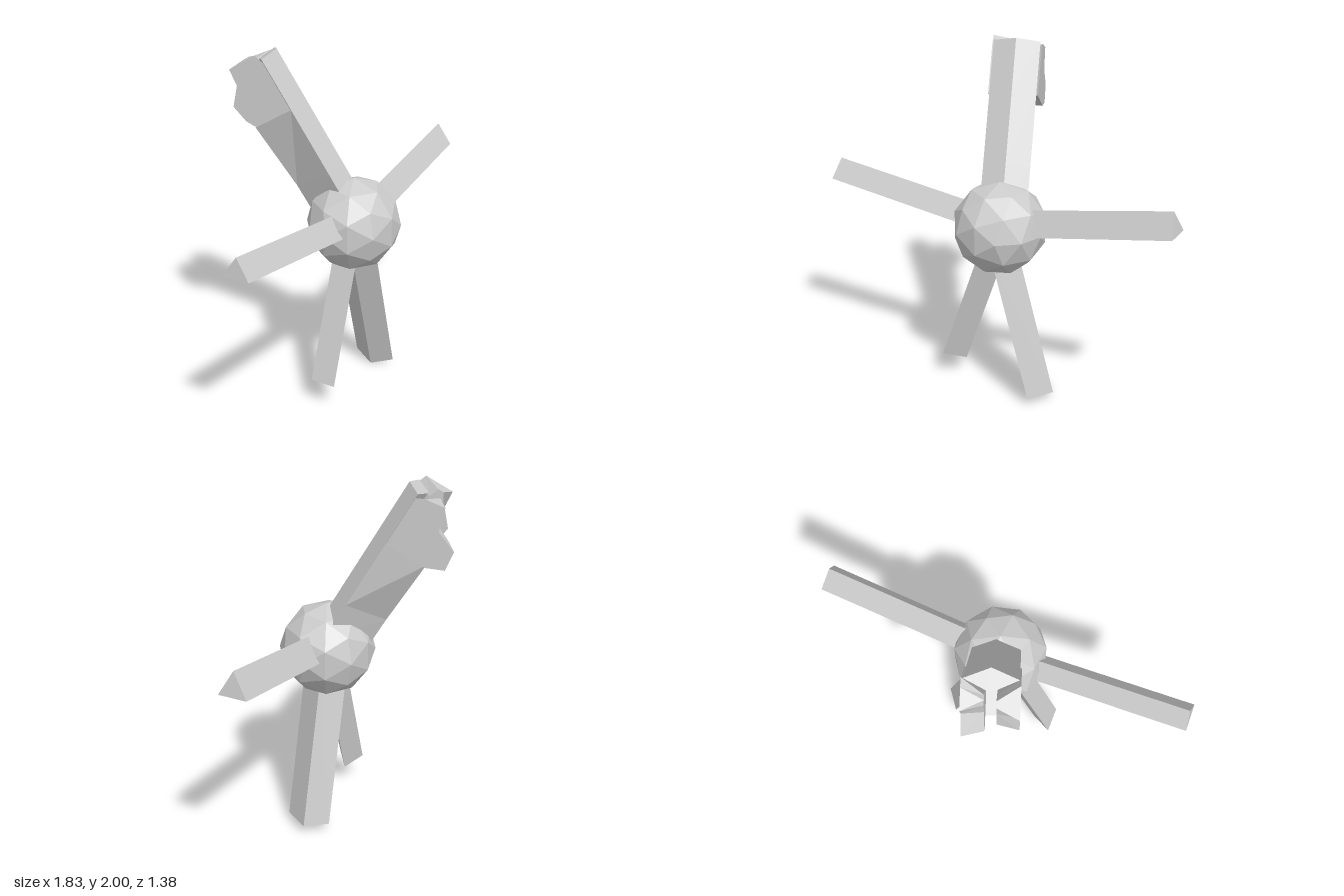
import * as THREE from 'three';

const V = (x, y, z) => new THREE.Vector3(x, y, z);
const material = new THREE.MeshStandardMaterial({ color: 0xcccccc, flatShading: true, side: THREE.DoubleSide });
const CENTRE = V(0.02, 1.03, -0.02);

// Closed solid through a list of cross-sections with equal point counts
function loft(name, sections) {
  const tris = [];
  const n = sections[0].length;
  const last = sections[sections.length - 1];
  for (let s = 0; s < sections.length - 1; s++) {
    for (let i = 0; i < n; i++) {
      const j = (i + 1) % n;
      const [a, b, c, d] = [sections[s][i], sections[s][j], sections[s + 1][j], sections[s + 1][i]];
      tris.push([a, b, c], [a, c, d]);
    }
  }
  for (let i = 1; i < n - 1; i++) {
    tris.push([sections[0][0], sections[0][i + 1], sections[0][i]]);
    tris.push([last[0], last[i], last[i + 1]]);
  }
  // Turn every face outwards if the solid came out inverted
  const volume = tris.reduce((v, [a, b, c]) => v + a.clone().sub(CENTRE)
    .dot(b.clone().sub(CENTRE).cross(c.clone().sub(CENTRE))), 0);
  if (volume < 0) tris.forEach((t) => t.reverse());
  const geometry = new THREE.BufferGeometry().setFromPoints(tris.flat());
  geometry.computeVertexNormals();
  const mesh = new THREE.Mesh(geometry, material);
  mesh.name = name;
  return mesh;
}

// Straight limb: its end outline is swept back along dir into the body
function limb(name, end, dir) {
  const outer = end.map((p) => V(...p));
  const mid = outer.reduce((m, p) => m.add(p), V(0, 0, 0)).divideScalar(outer.length);
  const d = V(...dir).normalize();
  const length = mid.distanceTo(CENTRE) - 0.1;
  return loft(name, [outer.map((p) => p.clone().addScaledVector(d, -length)), outer]);
}

// Neck frame: u across, w towards the nape, a along the neck
const TOP = V(-0.32, 2.0, -0.28);
const U = V(0.57, 0, -0.82), W = V(0.71, 0.503, 0.494), A = V(-0.413, 0.866, -0.286);
const at = (u, w, a) => TOP.clone().addScaledVector(U, u).addScaledVector(W, w).addScaledVector(A, a);

// Neck section: ridged nape, two sides and a narrow underside
const neckSection = (a, half, depth) => [
  at(0, 0, a), at(0.132, -0.055, a), at(half, depth, a), at(-half, depth, a), at(-0.135, -0.055, a),
];

// One half of the head: a side profile that narrows towards the cleft.
// Each point is [w, a, how much of its width is kept inside]
function headHalf(name, side, profile) {
  const outer = profile.map(([w, a]) => at(side * 0.142, w, a));
  const inner = profile.map(([w, a, keep]) => at(side * 0.03, -0.17 + (w + 0.17) * keep, a));
  return loft(name, [outer, inner]);
}

export function createModel() {
  const model = new THREE.Group();
  model.name = 'figure';

  // Body
  const body = new THREE.Mesh(new THREE.IcosahedronGeometry(0.268, 1), material);
  body.name = 'body';
  body.position.copy(CENTRE);
  model.add(body);

  // Arms
  model.add(limb('leftArm',
    [[0.82, 1.2, -0.69], [0.91, 1.2, -0.56], [0.845, 1.33, -0.605]], [0.81, 0.194, -0.593]));
  model.add(limb('rightArm',
    [[-0.92, 1.14, 0.56], [-0.825, 1.14, 0.685], [-0.86, 1.25, 0.61]], [-0.81, 0.12, 0.585]));

  // Legs
  model.add(limb('rightLeg',
    [[-0.215, 0.155, 0.245], [-0.17, 0.12, 0.11], [-0.305, 0.155, 0.125]], [-0.285, -1, 0.205]));
  model.add(limb('leftLeg',
    [[0.155, 0.045, -0.28], [0.19, 0, -0.15], [0.3, 0.045, -0.065], [0.295, 0.045, -0.235]],
    [0.224, -1, -0.168]));

  // Neck, with a shallower upper part behind the head
  model.add(loft('neck', [neckSection(-0.95, 0.012, -0.3), neckSection(-0.72, 0.018, -0.3), neckSection(-0.31, 0.1, -0.3)]));
  model.add(loft('nape', [neckSection(-0.31, 0.02, -0.13), neckSection(0, 0.02, -0.11)]));

  // Head halves with ear, brow and muzzle
  model.add(headHalf('leftHead', 1, [
    [-0.25, -0.11, 0.85], [-0.21, 0.015, 0.2], [-0.1, 0, 0.2], [-0.055, -0.02, 0.3],
    [-0.055, -0.31, 0.3], [-0.3, -0.31, 0.85], [-0.39, -0.27, 0.85], [-0.375, -0.16, 0.85],
  ]));
  model.add(headHalf('rightHead', -1, [
    [-0.25, -0.06, 0.8], [-0.24, 0.035, 0.2], [-0.075, 0.035, 0.2], [-0.055, -0.02, 0.3],
    [-0.055, -0.31, 0.3], [-0.28, -0.3, 0.85], [-0.31, -0.25, 0.85], [-0.33, -0.15, 0.85],
  ]));

  return model;
}
